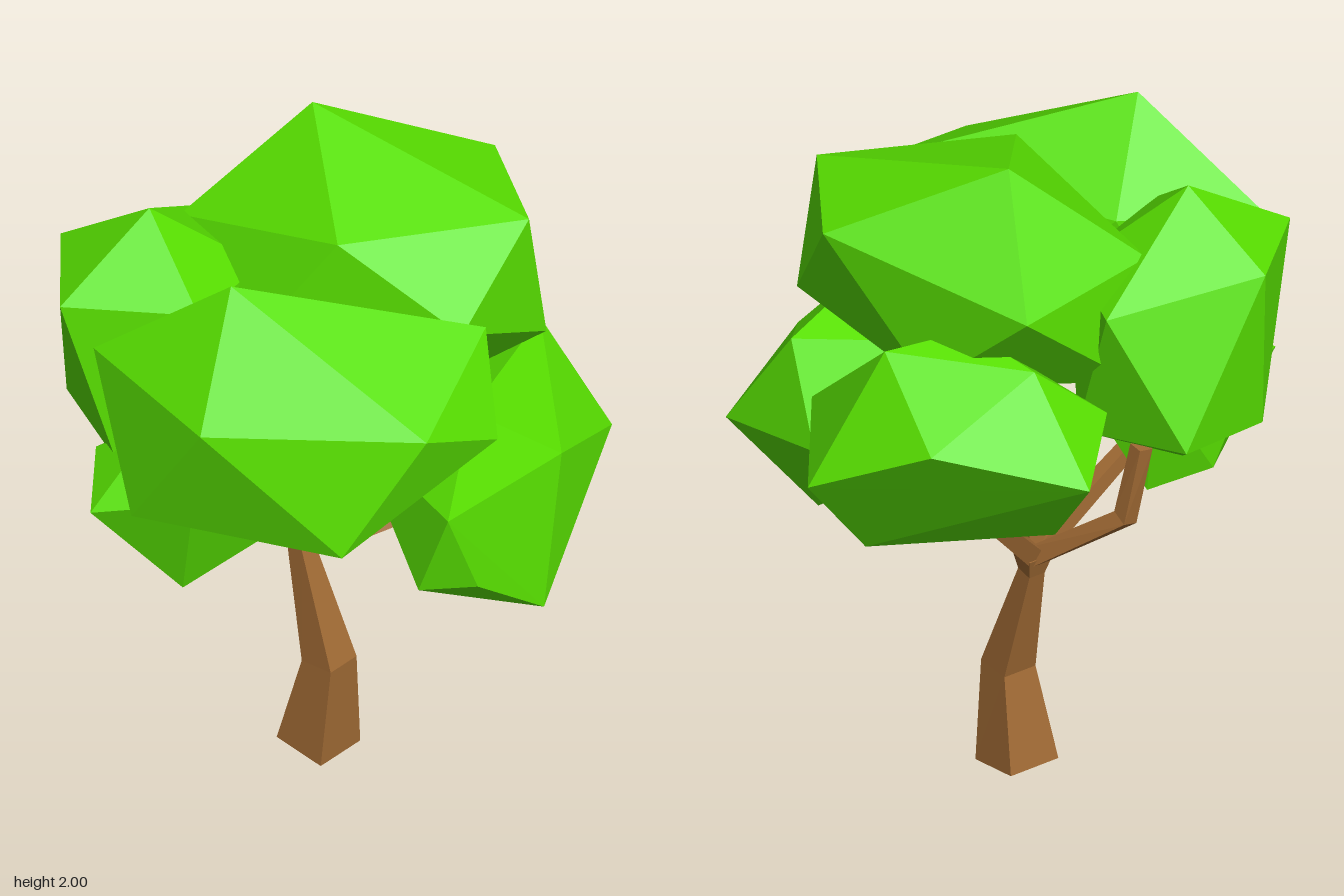
import * as THREE from 'three';
import { ConvexGeometry } from 'three/addons/geometries/ConvexGeometry.js';

const leaf = new THREE.MeshStandardMaterial({ color: 0x58e000, flatShading: true });
leaf.name = 'leaf green';
const bark = new THREE.MeshStandardMaterial({ color: 0xa06a34, flatShading: true });
bark.name = 'bark brown';

// Square-section limb through sections [x, y, z, halfWidth], rings square to the path
function limb(name, sections) {
  const pts = sections.map(([x, y, z]) => new THREE.Vector3(x, y, z));
  const pos = [], index = [], n = pts.length;
  pts.forEach((p, i) => {
    const t = new THREE.Vector3();
    if (i > 0) t.add(p.clone().sub(pts[i - 1]).normalize());
    if (i < n - 1) t.add(pts[i + 1].clone().sub(p).normalize());
    t.normalize();
    const a = new THREE.Vector3().crossVectors(t, new THREE.Vector3(0, 0, 1)).normalize();
    const b = new THREE.Vector3().crossVectors(a, t);
    for (const [u, v] of [[1, 1], [1, -1], [-1, -1], [-1, 1]]) {
      const r = sections[i][3];
      const q = p.clone().addScaledVector(a, u * r).addScaledVector(b, v * r);
      pos.push(q.x, q.y, q.z);
    }
  });
  for (let i = 0; i < n - 1; i++) {
    for (let k = 0; k < 4; k++) {
      const a = i * 4 + k, b = i * 4 + (k + 1) % 4;
      index.push(a, b, b + 4, a, b + 4, a + 4);
    }
  }
  const e = (n - 1) * 4;
  index.push(0, 2, 1, 0, 3, 2, e, e + 1, e + 2, e, e + 2, e + 3);
  const g = new THREE.BufferGeometry();
  g.setAttribute('position', new THREE.Float32BufferAttribute(pos, 3));
  g.setIndex(index);
  const flat = g.toNonIndexed();
  flat.computeVertexNormals();
  const mesh = new THREE.Mesh(flat, bark);
  mesh.name = name;
  return mesh;
}

// Faceted leaf clump spanning its corner points
function clump(name, corners) {
  const mesh = new THREE.Mesh(new ConvexGeometry(corners.map(c => new THREE.Vector3(...c))), leaf);
  mesh.name = name;
  return mesh;
}

export function createModel() {
  const tree = new THREE.Group();
  tree.name = 'tree';

  // Crooked trunk and the fork on top
  tree.add(limb('trunk', [
    [-0.067, 0.013, -0.014, 0.081], [-0.028, 0.3, -0.014, 0.053],
    [-0.13, 0.64, -0.012, 0.026], [-0.135, 0.7, -0.012, 0.04],
  ]));

  // Branches, one towards each clump
  const branches = {
    leftBranch: [[-0.12, 0.69, -0.01, 0.028], [0.13, 0.86, 0.17, 0.024], [0.27, 0.92, -0.08, 0.02]],
    leftUpperTwig: [[0.13, 0.85, 0.17, 0.023], [0.17, 1.12, 0.31, 0.021]],
    rightBranch: [[-0.14, 0.69, -0.01, 0.028], [-0.38, 0.88, 0.12, 0.025], [-0.4, 1.1, 0.16, 0.022]],
    backBranch: [[-0.14, 0.69, -0.01, 0.028], [-0.24, 1.0, -0.3, 0.022]],
    frontBranch: [[-0.13, 0.69, -0.01, 0.028], [-0.12, 0.9, 0.32, 0.021]],
    centreBranch: [[-0.13, 0.69, -0.01, 0.026], [-0.05, 1.42, 0.02, 0.022]],
  };
  for (const [name, path] of Object.entries(branches)) tree.add(limb(name, path));

  // Leaf clumps
  tree.add(clump('topClump', [
    [-0.21, 2.0, -0.15], [0.42, 1.81, -0.33], [0.1, 1.79, -0.55], [-0.453, 1.66, -0.27],
    [0.14, 1.84, 0.14], [-0.41, 1.7, 0.17], [0.43, 1.41, -0.39], [0.47, 1.62, 0.0],
    [-0.15, 1.37, -0.38], [-0.43, 1.33, 0.12], [0.18, 1.22, -0.11], [-0.12, 1.4, 0.3],
  ]));
  tree.add(clump('frontClump', [
    [0.08, 1.87, 0.51], [0.19, 1.55, 0.76], [0.66, 1.54, 0.36], [-0.27, 1.59, 0.68],
    [-0.07, 1.16, 0.75], [0.52, 1.19, 0.55], [0.31, 1.0, 0.28], [0.52, 1.65, -0.04],
    [0.67, 1.41, 0.08], [-0.1, 1.62, 0.3], [-0.2, 1.28, 0.42], [0.2, 1.3, 0.04],
  ]));
  tree.add(clump('leftClump', [
    [0.64, 1.21, 0.25], [0.66, 0.95, 0.15], [0.55, 0.95, 0.27], [0.37, 0.95, 0.12],
    [0.67, 0.75, -0.11], [0.36, 0.74, -0.37], [0.61, 1.16, -0.25], [0.5, 1.03, -0.58],
    [0.31, 1.34, -0.5], [0.5, 1.38, 0.0], [0.07, 0.96, -0.13], [0.14, 1.2, 0.08],
    [0.14, 1.08, -0.55],
  ]));
  tree.add(clump('rightClump', [
    [-0.36, 1.84, 0.35], [-0.63, 1.66, 0.41], [-0.41, 1.65, 0.66], [-0.1, 1.65, 0.44],
    [-0.67, 1.22, 0.11], [-0.59, 1.17, 0.43], [-0.26, 1.18, 0.6], [-0.4, 1.02, 0.3],
    [-0.1, 1.25, 0.3], [-0.48, 1.6, -0.02], [-0.18, 1.6, 0.09], [-0.32, 1.17, 0.0],
  ]));
  tree.add(clump('smallFrontClump', [
    [-0.17, 1.3, 0.55], [-0.35, 1.17, 0.58], [-0.21, 1.11, 0.76], [0.04, 1.18, 0.62],
    [0.07, 0.95, 0.37], [-0.06, 0.82, 0.55], [-0.2, 0.805, 0.33], [-0.3, 0.87, 0.48],
    [-0.28, 1.18, 0.3], [0.0, 1.22, 0.32], [-0.14, 1.02, 0.23],
  ]));
  tree.add(clump('backClump', [
    [-0.11, 1.16, -0.76], [-0.14, 1.52, -0.52], [-0.43, 1.34, -0.58], [-0.67, 1.22, -0.22],
    [-0.47, 1.3, -0.01], [-0.42, 1.48, -0.22], [-0.2, 1.53, -0.28], [0.19, 1.22, -0.52],
    [-0.08, 0.88, -0.54], [-0.42, 0.94, -0.15], [-0.2, 1.05, -0.08], [0.1, 1.1, -0.25],
  ]));
  return tree;
}
